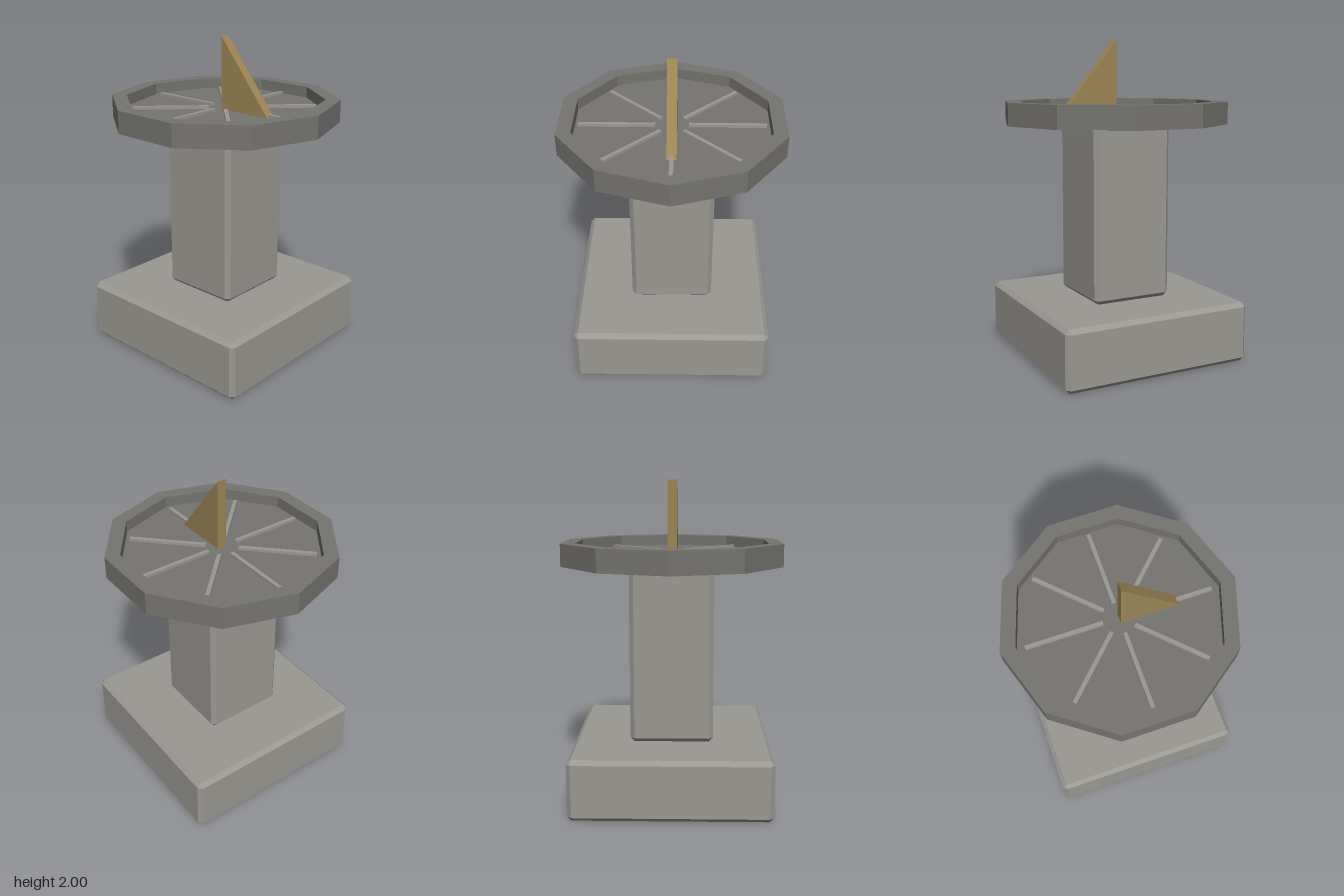
import * as THREE from 'three';
import { ConvexGeometry } from 'three/addons/geometries/ConvexGeometry.js';

const mat = (name, color) => {
  const m = new THREE.MeshStandardMaterial({ color });
  m.name = name;
  return m;
};

// Box with flat chamfers on every edge, standing on y = 0
function chamferedBox(w, h, d, c) {
  const pts = [];
  for (const x of [-1, 1]) for (const y of [-1, 1]) for (const z of [-1, 1]) {
    for (let axis = 0; axis < 3; axis++) {
      const inset = [c, c, c];
      inset[axis] = 0;
      pts.push(new THREE.Vector3(
        x * (w / 2 - inset[0]), y * (h / 2 - inset[1]), z * (d / 2 - inset[2])));
    }
  }
  return new ConvexGeometry(pts).translate(0, h / 2, 0);
}

export function createModel() {
  const model = new THREE.Group();
  model.name = 'sundial';
  const stone = mat('light stone', 0x9a9892);
  const slate = mat('dark stone', 0x757470);
  const brass = mat('brass', 0x9c8455);

  const add = (name, geometry, material, parent = model) => {
    const mesh = new THREE.Mesh(geometry, material);
    mesh.name = name;
    parent.add(mesh);
    return mesh;
  };

  // Plinth and pillar
  add('base', chamferedBox(1.235, 0.38, 1.235, 0.027), stone);
  add('pillar', chamferedBox(0.52, 1.1, 0.52, 0.027), stone).position.y = 0.38;

  // Ten-sided dish with a raised rim
  const floorY = 1.55;
  const profile = [[0, 1.48], [0.712, 1.48], [0.712, 1.62], [0.62, 1.62], [0.62, floorY], [0, floorY]]
    .map(([r, y]) => new THREE.Vector2(r, y));
  const dish = new THREE.LatheGeometry(profile, 10, Math.PI / 2).toNonIndexed();
  dish.computeVertexNormals();
  add('dial', dish, slate);

  // Eight radial hour marks
  const marks = new THREE.Group();
  marks.name = 'hourMarks';
  model.add(marks);
  for (let i = 0; i < 8; i++) {
    const geo = new THREE.BoxGeometry(0.47, 0.028, 0.025).translate(0.335, floorY + 0.004, 0);
    add('hourMark', geo, stone, marks).rotation.y = i * Math.PI / 4;
  }

  // Triangular gnomon
  const triangle = new THREE.Shape([
    new THREE.Vector2(0, floorY), new THREE.Vector2(0.365, floorY), new THREE.Vector2(0, 2)]);
  const gnomon = new THREE.ExtrudeGeometry(triangle, { depth: 0.06, bevelEnabled: false });
  add('gnomon', gnomon.translate(0, 0, -0.03), brass);

  return model;
}
